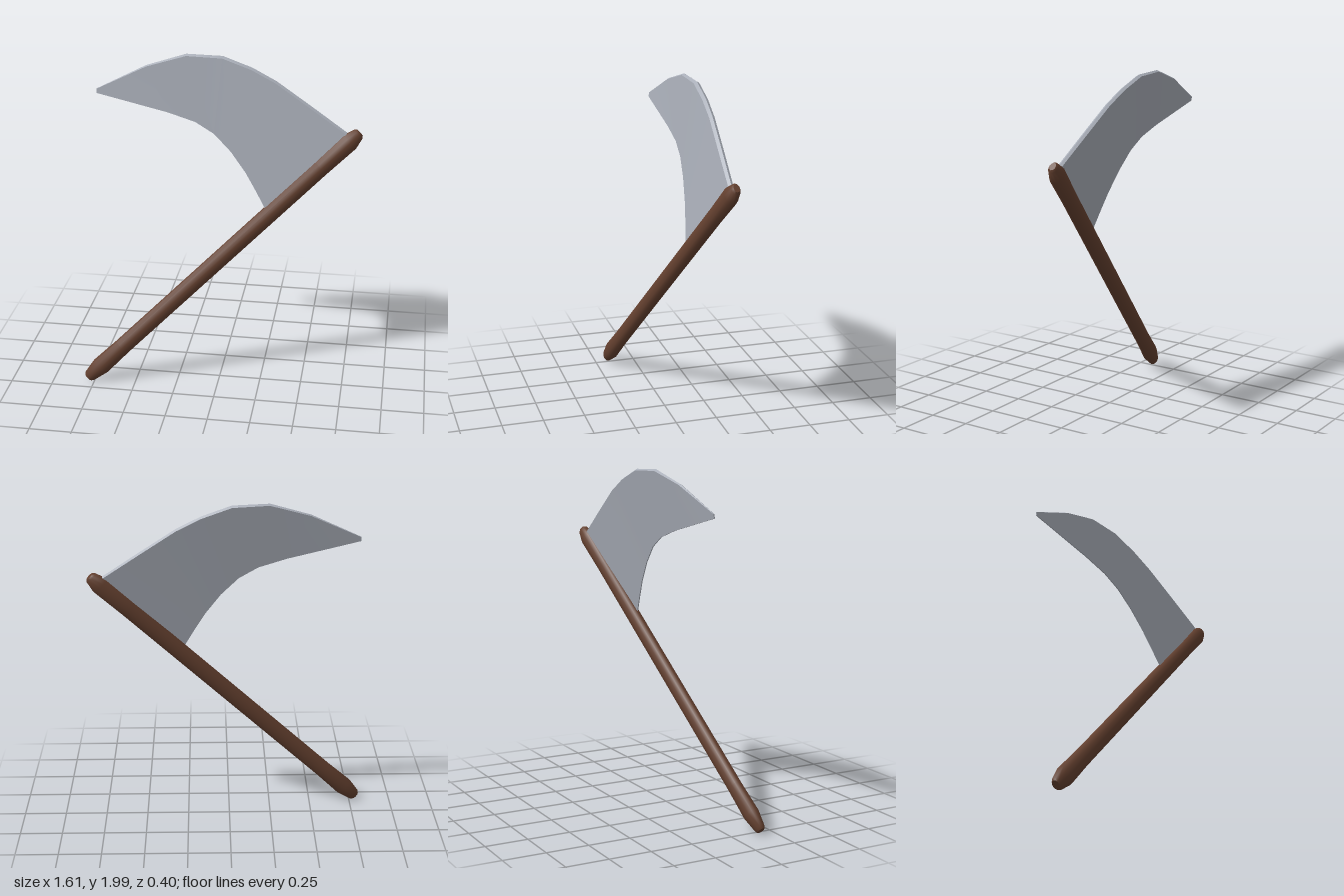
import * as THREE from 'three';
import { toCreasedNormals } from 'three/addons/utils/BufferGeometryUtils.js';

const wood = new THREE.MeshStandardMaterial({ name: 'dark wood', color: 0x64402f });
const steel = new THREE.MeshStandardMaterial({ name: 'grey steel', color: 0xa9aeb8 });

// The blade lies in one tilted plane
const planeZ = (x, y) => 0.163 - 0.0555 * x - 0.179 * y;

// Oval shaft with blunt, tapered ends, laid between two points
function makeHandle() {
  const bottom = new THREE.Vector3(-0.788, 0.025, 0.17);
  const top = new THREE.Vector3(0.785, 1.583, -0.165);
  const axis = top.clone().sub(bottom);
  const length = axis.length();
  axis.normalize();
  const profile = [
    [0, 0], [0.028, 0], [0.038, 0.015], [0.057, 0.11], [0.052, 0.3], [0.051, length - 0.3],
    [0.055, length - 0.08], [0.036, length - 0.012], [0.024, length], [0, length],
  ].map(([r, y]) => new THREE.Vector2(r, y));
  let geometry = new THREE.LatheGeometry(profile, 12);
  geometry.scale(1, 1, 0.75);
  geometry = toCreasedNormals(geometry, 0.8);

  const wide = new THREE.Vector3(-1, 1, 0).normalize();
  const thin = wide.clone().cross(axis).normalize();
  wide.crossVectors(axis, thin);
  geometry.applyMatrix4(new THREE.Matrix4().makeBasis(wide, axis, thin).setPosition(bottom));
  const mesh = new THREE.Mesh(geometry, wood);
  mesh.name = 'handle';
  return mesh;
}

// Wedge sections from tip to handle: thick spine, sharp inner edge
function makeBlade() {
  // spine x, y, inner edge x, y, half thickness at the spine
  const stations = [
    [-0.735, 1.79, -0.735, 1.764, 0.003],
    [-0.45, 1.93, -0.32, 1.665, 0.010],
    [-0.22, 2.0, -0.16, 1.615, 0.015],
    [-0.01, 1.993, -0.05, 1.55, 0.017],
    [0.16, 1.932, 0.05, 1.45, 0.017],
    [0.3, 1.86, 0.14, 1.33, 0.016],
    [0.51, 1.72, 0.2, 1.23, 0.016],
    [0.715, 1.58, 0.252, 1.138, 0.015],
    [0.75, 1.555, 0.28, 1.095, 0.015],
  ];
  const positions = [];
  const index = [];
  const sides = 5;
  stations.forEach(([sx, sy, ix, iy, half]) => {
    const bevel = 0.6 * half / Math.hypot(sx - ix, sy - iy);
    const edge = Math.min(half, 0.003);
    // fraction across the blade, offset in z
    const ring = [[0, 0], [bevel, half], [1, edge], [1, -edge], [bevel, -half]];
    for (const [t, dz] of ring) {
      const x = sx + (ix - sx) * t;
      const y = sy + (iy - sy) * t;
      positions.push(x, y, planeZ(x, y) + dz);
    }
  });
  const last = (stations.length - 1) * sides;
  for (let base = 0; base < last; base += sides) {
    for (let j = 0; j < sides; j++) {
      const a = base + j;
      const b = base + (j + 1) % sides;
      index.push(a, b, b + sides, a, b + sides, a + sides);
    }
  }
  // End caps
  for (let j = 1; j < sides - 1; j++) {
    index.push(0, j + 1, j, last, last + j, last + j + 1);
  }
  const geometry = new THREE.BufferGeometry();
  geometry.setAttribute('position', new THREE.Float32BufferAttribute(positions, 3));
  geometry.setIndex(index);
  const mesh = new THREE.Mesh(toCreasedNormals(geometry, 0.6), steel);
  mesh.name = 'blade';
  return mesh;
}

export function createModel() {
  const group = new THREE.Group();
  group.name = 'scythe';
  group.add(makeHandle(), makeBlade());
  return group;
}
